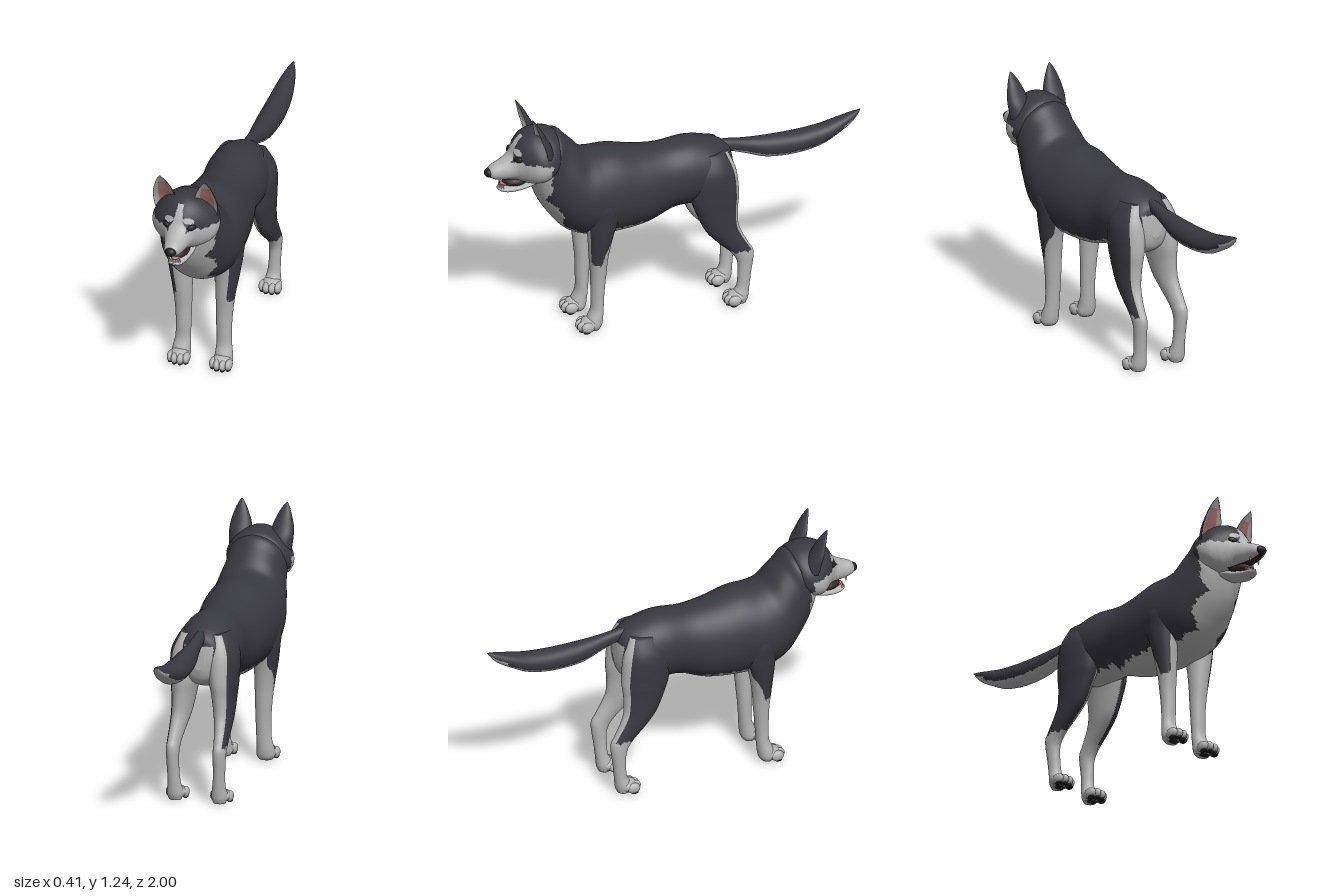
import * as THREE from 'three';

const mat = (name, color) => Object.assign(new THREE.MeshStandardMaterial({ color }), { name });

// Smoothly interpolates the rows of a loft
function rowAt(rows, t) {
  const n = rows.length - 1, i = Math.min(Math.floor(t), n - 1), u = t - i;
  const get = (r, k) => rows[Math.max(0, Math.min(n, r))][k] ?? 0;
  return [0, 1, 2, 3, 4, 5, 6].map((k) => {
    const [a, b, c, d] = [get(i - 1, k), get(i, k), get(i + 1, k), get(i + 2, k)];
    return b + 0.5 * u * (c - a + u * (2 * a - 5 * b + 4 * c - d + u * (3 * (b - c) + d - a)));
  });
}

// Piecewise linear lookup in [[input, output], ...]
function lookup(points, v) {
  for (let i = 1; i < points.length; i++) {
    const [a, fa] = points[i - 1], [b, fb] = points[i];
    if (v <= b) return fa + (fb - fa) * Math.max(0, (v - a) / (b - a));
  }
  return points[points.length - 1][1];
}

// Skins oval sections. Row: [z1, y1, z2, y2, halfWidth, centreX, bias]; points 1 and 2 are opposite ends
// of the oval. paint(x, y, z, cos, sin) picks the material of each face.
function loft(name, rows, paint, { side = 1, seg = 48, steps = 8, front = 1 } = {}) {
  const pos = [], info = [], count = (rows.length - 1) * steps;
  const add = (x, y, z, c, s) => { pos.push(side * x, y, z); info.push([x, y, z, c, s]); };
  for (let i = 0; i <= count; i++) {
    const [z1, y1, z2, y2, w, cx, bias] = rowAt(rows, i / steps);
    for (let j = 0; j < seg; j++) {
      const a = (j / seg) * Math.PI * 2, c = Math.cos(a), s = Math.sin(a), h = (c > 0 ? c * front : c) / 2;
      add(cx + Math.max(w, 0.001) * s * (1 - bias * c), (y1 + y2) / 2 + h * (y1 - y2), (z1 + z2) / 2 + h * (z1 - z2), c, s);
    }
  }
  for (const i of [0, count]) {
    const [z1, y1, z2, y2, , cx] = rowAt(rows, i / steps);
    add(cx, (y1 + y2) / 2, (z1 + z2) / 2, 0, 0);
  }
  const faces = new Map();
  const tri = (...v) => {
    const m = paint(...[0, 1, 2, 3, 4].map((k) => (info[v[0]][k] + info[v[1]][k] + info[v[2]][k]) / 3));
    if (!faces.has(m)) faces.set(m, []);
    faces.get(m).push(...(side > 0 ? v : v.reverse()));
  };
  const first = (count + 1) * seg, end = count * seg;
  for (let j = 0; j < seg; j++) {
    const k = (j + 1) % seg;
    for (let i = 0; i < count; i++) {
      const r = i * seg, q = r + seg;
      tri(r + j, q + j, r + k);
      tri(r + k, q + j, q + k);
    }
    tri(first, j, k);
    tri(first + 1, end + k, end + j);
  }
  const geo = new THREE.BufferGeometry(), index = [], mats = [];
  for (const [m, list] of faces) {
    geo.addGroup(index.length, list.length, mats.length);
    for (const v of list) index.push(v);
    mats.push(m);
  }
  geo.setAttribute('position', new THREE.Float32BufferAttribute(pos, 3));
  geo.setIndex(index);
  geo.computeVertexNormals();
  const mesh = new THREE.Mesh(geo, mats.length > 1 ? mats : mats[0]);
  mesh.name = name;
  return mesh;
}

function ball(name, material, [x, y, z], [rx, ry, rz]) {
  const mesh = new THREE.Mesh(new THREE.SphereGeometry(1, 20, 14).scale(rx, ry, rz), material);
  mesh.position.set(x, y, z);
  mesh.name = name;
  return mesh;
}

export function createModel() {
  const dog = new THREE.Group();
  dog.name = 'dog';
  const dark = mat('charcoalFur', 0x38383f), light = mat('paleFur', 0xb4b4b4);
  const pink = mat('earPink', 0xb57c77), tongueRed = mat('tonguePink', 0xb87478);
  const black = mat('noseBlack', 0x1f1f22), mouthDark = mat('mouthDark', 0x2e2224), ivory = mat('toothIvory', 0xd0cec6);
  const ragged = (v) => 0.005 * Math.sin(v * 95) + 0.003 * Math.sin(v * 210 + 1);

  // Body and neck, with a pale bib, belly and seat
  const bibWidth = [[0.5, 0.17], [0.56, 0.14], [0.59, 0.07], [0.62, 0.09], [0.65, 0.12], [0.72, 0.13], [0.76, 0.09], [0.8, 0.12], [0.85, 0.16], [1, 0.16]];
  const bibBack = [[0.5, 0.44], [0.54, 0.53], [0.6, 0.57], [0.67, 0.6], [0.75, 0.64], [0.82, 0.69], [1, 0.7]];
  dog.add(loft('body', [
    [-0.305, 0.79, -0.31, 0.68, 0.03], [-0.285, 0.85, -0.28, 0.61, 0.1], [-0.2, 0.895, -0.19, 0.565, 0.15],
    [-0.08, 0.92, -0.08, 0.565, 0.158], [0.07, 0.911, 0.02, 0.558, 0.152], [0.2, 0.925, 0.16, 0.507, 0.175],
    [0.33, 0.955, 0.32, 0.49, 0.194], [0.43, 0.957, 0.46, 0.5, 0.203], [0.485, 0.972, 0.58, 0.548, 0.193],
    [0.53, 1.02, 0.668, 0.65, 0.174], [0.57, 1.06, 0.722, 0.74, 0.158], [0.61, 1.1, 0.755, 0.84, 0.148],
    [0.66, 1.1, 0.765, 0.9, 0.1],
  ], (x, y, z) => {
    const ax = Math.abs(x);
    const bib = ax < lookup(bibWidth, y) + ragged(y) && z > lookup(bibBack, y) + ragged(y);
    const belly = z < 0.56 && y < (z < 0.05 ? 0.585 : 0.553) + ragged(z);
    const seat = z < -0.24 && ax < 0.075 && y < 0.8;
    return bib || belly || seat ? light : dark;
  }, { seg: 80, steps: 12 }));

  // Head with a mask, brow spots and a blaze
  const head = loft('head', [
    [0.6, 1.06, 0.62, 0.94, 0.06], [0.64, 1.11, 0.66, 0.88, 0.145, 0, 0.12], [0.7, 1.128, 0.715, 0.855, 0.168, 0, 0.18],
    [0.76, 1.127, 0.76, 0.85, 0.16, 0, 0.2], [0.81, 1.1, 0.79, 0.852, 0.13, 0, 0.15], [0.843, 1.06, 0.82, 0.862, 0.094, 0, 0.08],
    [0.87, 1.012, 0.85, 0.874, 0.07], [0.915, 0.983, 0.91, 0.88, 0.053], [0.955, 0.966, 0.948, 0.888, 0.043],
    [0.976, 0.95, 0.972, 0.9, 0.03], [0.982, 0.935, 0.98, 0.912, 0.012],
  ], (x, y, z, c) => {
    const ax = Math.abs(x);
    if (z > 0.8 && c < -0.88) return mouthDark;
    if (z < 0.7 + ragged(y)) return dark;
    const blaze = y < 1.105 && ax < lookup([[1, 0.045], [1.03, 0.026], [1.06, 0.019], [1.105, 0.014]], y);
    const brow = ((ax - 0.05) / 0.026) ** 2 + ((y - 1.036 + (ax - 0.05) * 0.2) / 0.014) ** 2 < 1;
    return y > 0.992 + ragged(ax) && !blaze && !(brow && z > 0.78) ? dark : light;
  }, { seg: 88, steps: 12 });
  dog.add(head);

  // Nose, lower jaw and open mouth
  dog.add(ball('nose', black, [0, 0.926, 0.974], [0.029, 0.024, 0.026]));
  dog.add(loft('lowerJaw', [
    [0.72, 0.88, 0.72, 0.84, 0.06], [0.78, 0.868, 0.78, 0.824, 0.066], [0.83, 0.853, 0.83, 0.81, 0.056],
    [0.88, 0.843, 0.88, 0.806, 0.043], [0.918, 0.84, 0.914, 0.814, 0.03], [0.932, 0.834, 0.931, 0.826, 0.01],
  ], () => light));
  dog.add(ball('mouthInside', mouthDark, [0, 0.86, 0.83], [0.05, 0.028, 0.075]));
  dog.add(ball('tongue', tongueRed, [0, 0.853, 0.87], [0.028, 0.011, 0.052]));
  const tooth = (x, y, z, r, h) => {
    const mesh = new THREE.Mesh(new THREE.ConeGeometry(r, Math.abs(h), 8), ivory);
    if (h < 0) mesh.rotation.x = Math.PI;
    mesh.position.set(x, y + h / 2, z);
    mesh.name = 'tooth';
    dog.add(mesh);
  };
  for (let i = -2; i <= 2; i++) tooth(i * 0.009, 0.836, 0.922 - 0.002 * i * i, 0.005, 0.013);

  const frontLegRows = [
    [0.47, 0.81, 0.37, 0.81, 0.04, 0.12], [0.515, 0.72, 0.335, 0.72, 0.082, 0.12], [0.505, 0.62, 0.335, 0.62, 0.074, 0.122],
    [0.495, 0.52, 0.365, 0.52, 0.062, 0.121], [0.485, 0.4, 0.387, 0.4, 0.05, 0.112], [0.476, 0.3, 0.396, 0.3, 0.043, 0.107],
    [0.474, 0.2, 0.405, 0.2, 0.039, 0.105], [0.475, 0.12, 0.41, 0.12, 0.039, 0.107], [0.495, 0.07, 0.415, 0.06, 0.045, 0.11],
    [0.505, 0.035, 0.422, 0.025, 0.047, 0.11], [0.49, 0.006, 0.435, 0.006, 0.035, 0.11],
  ];
  const hindLegRows = [
    [-0.09, 0.85, -0.26, 0.85, 0.04, 0.08], [-0.06, 0.75, -0.3, 0.75, 0.076, 0.094], [-0.062, 0.62, -0.314, 0.62, 0.071, 0.099],
    [-0.085, 0.54, -0.306, 0.53, 0.06, 0.104], [-0.135, 0.43, -0.308, 0.445, 0.049, 0.11], [-0.2, 0.355, -0.33, 0.385, 0.04, 0.116],
    [-0.262, 0.295, -0.362, 0.325, 0.034, 0.12], [-0.298, 0.235, -0.384, 0.275, 0.032, 0.121], [-0.302, 0.16, -0.37, 0.16, 0.03, 0.119],
    [-0.297, 0.095, -0.362, 0.09, 0.033, 0.116], [-0.275, 0.05, -0.356, 0.035, 0.041, 0.115], [-0.285, 0.006, -0.345, 0.006, 0.032, 0.115],
  ];
  const earRows = [
    [0.792, 1.24, 0.788, 1.24, 0.003, 0.117], [0.793, 1.215, 0.769, 1.215, 0.02, 0.115], [0.793, 1.18, 0.745, 1.18, 0.037, 0.112],
    [0.792, 1.13, 0.718, 1.13, 0.054, 0.109], [0.786, 1.08, 0.69, 1.08, 0.06, 0.107], [0.775, 1.02, 0.67, 1.02, 0.058, 0.104],
  ];

  for (const side of [1, -1]) {
    const label = side > 0 ? 'left' : 'right';
    // Legs, dark on the outside
    dog.add(loft(label + 'FrontLeg', frontLegRows,
      (x, y, z, c, s) => (y > 0.6 || (s > 0.42 && y > 0.375 + 0.16 * Math.max(0, -c) + ragged(z)) ? dark : light), { side }));
    dog.add(loft(label + 'HindLeg', hindLegRows,
      (x, y, z, c, s) => (y > 0.3 + ragged(z) && s > -0.2 && c > -0.8 + 2 * ragged(y) ? dark : light), { side }));

    // Paws with four toes and dark pads
    for (const [name, px, pz] of [['FrontPaw', 0.11, 0.49], ['HindPaw', 0.115, -0.29]]) {
      const paw = new THREE.Group();
      paw.name = label + name;
      paw.position.set(side * px, 0, pz);
      paw.add(ball('instep', light, [0, 0.038, -0.005], [0.05, 0.034, 0.05]));
      paw.add(ball('heelPad', black, [0, 0.01, -0.01], [0.03, 0.01, 0.024]));
      [-0.04, -0.015, 0.015, 0.04].forEach((tx) => {
        const tz = Math.abs(tx) > 0.03 ? 0.016 : 0.03;
        paw.add(ball('toe', light, [tx, 0.032, tz], [0.019, 0.028, 0.034]));
        paw.add(ball('toePad', black, [tx, 0.009, tz + 0.005], [0.013, 0.009, 0.02]));
      });
      dog.add(paw);
    }

    // Cupped ear with a pink hollow
    dog.add(loft(label + 'Ear', earRows, (x, y, z, c, s) => {
      if (c < 0.08) return dark;
      return Math.abs(s) < 0.62 && y < 1.19 ? pink : light;
    }, { side, front: -0.5 }));

    // Eye set on the face surface
    head.updateMatrixWorld();
    const ray = new THREE.Raycaster(new THREE.Vector3(side * 0.066, 1.003, 2), new THREE.Vector3(0, 0, -1));
    const hit = ray.intersectObject(head)[0];
    const eye = ball(label + 'Eye', black, [side * 0.066, 1.003, (hit ? hit.point.z : 0.845) - 0.004], [0.024, 0.015, 0.012]);
    eye.rotation.set(0, side * 0.6, side * 0.2);
    dog.add(eye);
    tooth(side * 0.026, 0.836, 0.912, 0.006, 0.024);
    tooth(side * 0.028, 0.892, 0.93, 0.006, -0.026);
  }

  // Bushy tail, pale underneath
  dog.add(loft('tail', [
    [-0.999, 0.893, -0.996, 0.884, 0.006], [-0.955, 0.885, -0.95, 0.832, 0.026], [-0.88, 0.867, -0.87, 0.784, 0.045],
    [-0.78, 0.847, -0.78, 0.742, 0.056], [-0.65, 0.838, -0.65, 0.722, 0.06], [-0.5, 0.842, -0.5, 0.73, 0.052],
    [-0.38, 0.853, -0.38, 0.772, 0.035], [-0.28, 0.868, -0.29, 0.8, 0.028], [-0.2, 0.87, -0.22, 0.79, 0.03],
  ], (x, y, z, c) => (c < (z < -0.9 ? -0.1 : -0.5) + 8 * ragged(z) && z < -0.32 ? light : dark), { steps: 12 }));

  return dog;
}
